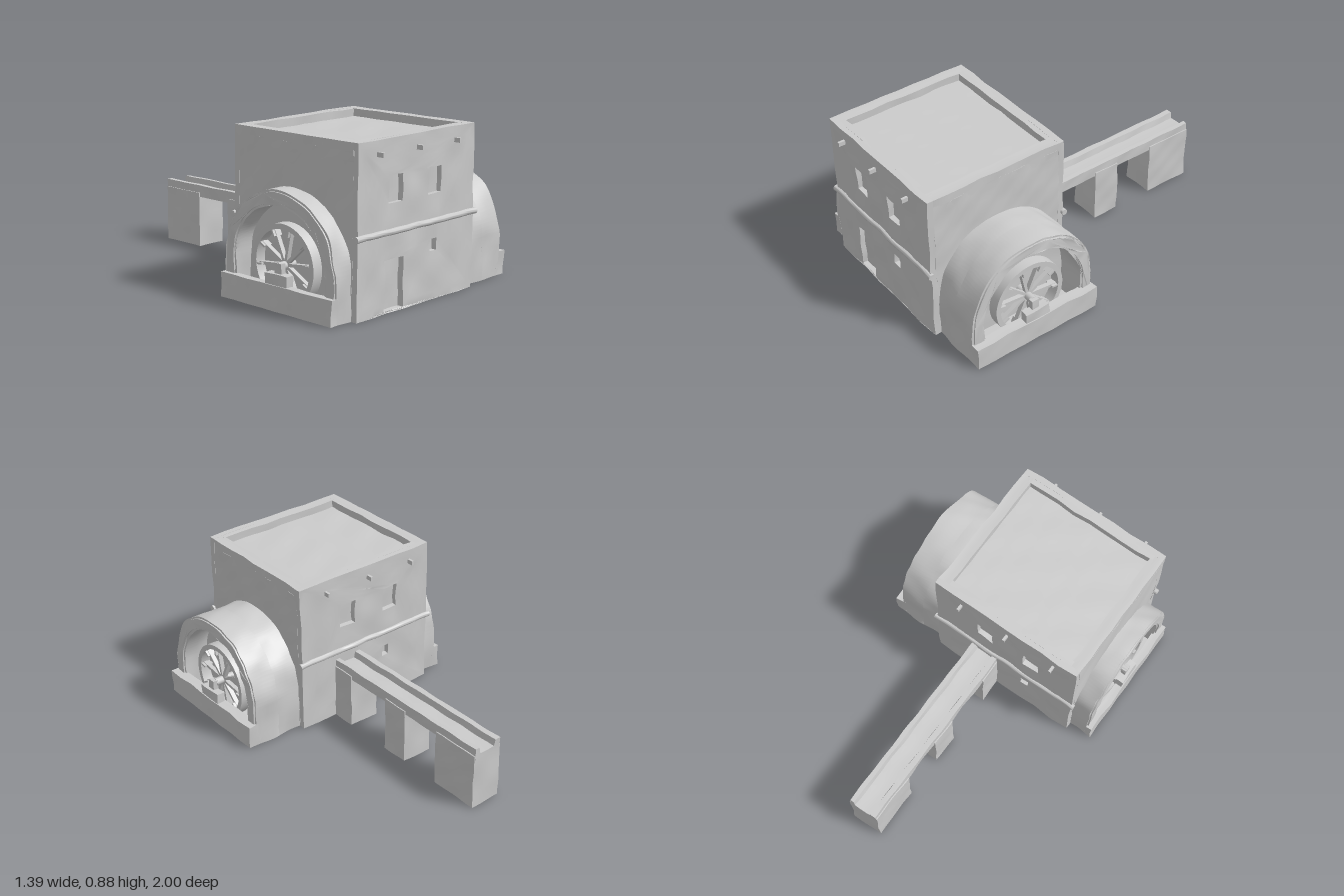
import * as THREE from 'three';
import { toCreasedNormals, mergeVertices } from 'three/addons/utils/BufferGeometryUtils.js';

const material = new THREE.MeshStandardMaterial({ color: 0xcccccc, side: THREE.DoubleSide });

// Split every triangle in four, so that flat walls can be made uneven
function subdivide(geometry, times) {
  let g = geometry.index ? geometry.toNonIndexed() : geometry;
  for (let n = 0; n < times; n++) {
    const p = g.attributes.position, out = [];
    for (let i = 0; i < p.count; i += 3) {
      const [a, b, c] = [0, 1, 2].map((k) => new THREE.Vector3().fromBufferAttribute(p, i + k));
      const ab = a.clone().lerp(b, 0.5), bc = b.clone().lerp(c, 0.5), ca = c.clone().lerp(a, 0.5);
      for (const v of [a, ab, ca, ab, b, bc, ca, bc, c, ab, bc, ca]) out.push(v.x, v.y, v.z);
    }
    g = new THREE.BufferGeometry();
    g.setAttribute('position', new THREE.Float32BufferAttribute(out, 3));
  }
  return g;
}

// Hand-plastered unevenness: a smooth shift that depends only on position
function plaster(geometry, times = 3, amount = 0.004) {
  const g = subdivide(geometry, times), p = g.attributes.position;
  const wave = (a, b, c) => Math.sin(23 * a + 11 * b) * Math.cos(19 * c - 7 * b) + 0.5 * Math.sin(47 * b + 31 * c);
  for (let i = 0; i < p.count; i++) {
    const x = p.getX(i), y = p.getY(i), z = p.getZ(i);
    const dy = y < 0.005 ? 0 : 0.5 * amount * wave(z, x, y);
    p.setXYZ(i, x + amount * wave(x, y, z), y + dy, z + amount * wave(y, z, x));
  }
  for (const key of Object.keys(g.attributes)) if (key !== 'position') g.deleteAttribute(key);
  return toCreasedNormals(mergeVertices(g, 1e-5), 0.7);
}

function add(parent, name, geometry) {
  const mesh = new THREE.Mesh(geometry, material);
  mesh.name = name;
  parent.add(mesh);
  return mesh;
}

// Box given by its limits
function block(x0, x1, y0, y1, z0, z1) {
  return new THREE.BoxGeometry(x1 - x0, y1 - y0, z1 - z0)
    .translate((x0 + x1) / 2, (y0 + y1) / 2, (z0 + z1) / 2);
}

function rectangle(Type, x0, x1, y0, y1) {
  return new Type([[x0, y0], [x1, y0], [x1, y1], [x0, y1]].map(([x, y]) => new THREE.Vector2(x, y)));
}

function wallPanel(openings, z0, z1) {
  const shape = rectangle(THREE.Shape, -0.55, 0.35, 0, 0.873);
  for (const o of openings) shape.holes.push(rectangle(THREE.Path, ...o));
  return new THREE.ExtrudeGeometry(shape, { depth: z1 - z0, bevelEnabled: false }).translate(0, 0, z0);
}

// Shape drawn in the z-y plane around z = 0.54, extruded from x0 to x1
function extrudeX(shape, x0, x1) {
  return new THREE.ExtrudeGeometry(shape, { depth: x1 - x0, bevelEnabled: false, curveSegments: 28 })
    .rotateY(Math.PI / 2).translate(x0, 0, 0.54);
}

const AXLE_Y = 0.222;

function archOutline(Type, radius, bottom) {
  const s = new Type();
  s.moveTo(radius, bottom);
  s.lineTo(radius, AXLE_Y);
  s.absarc(0, AXLE_Y, radius, 0, Math.PI, false);
  s.lineTo(-radius, bottom);
  s.closePath();
  return s;
}

function makeHouse() {
  const house = new THREE.Group();
  house.name = 'house';
  const windows = [[-0.32, -0.22, 0.55, 0.69], [-0.02, 0.08, 0.55, 0.69]];
  const door = [-0.345, -0.21, 0.012, 0.27];
  add(house, 'frontWall', plaster(wallPanel([...windows, door, [0, 0.05, 0.255, 0.32]], 0.925, 0.96)));
  add(house, 'backWall', plaster(wallPanel([...windows, [-0.265, -0.215, 0.255, 0.32]], 0.12, 0.155)));
  add(house, 'core', plaster(block(-0.55, 0.35, 0, 0.83, 0.15, 0.93), 4));
  // Raised edge around the flat roof
  for (const [x0, x1, z0, z1] of [
    [-0.55, -0.485, 0.15, 0.93], [0.285, 0.35, 0.15, 0.93],
    [-0.5, 0.3, 0.15, 0.185], [-0.5, 0.3, 0.895, 0.93]]) {
    add(house, 'parapet', plaster(block(x0, x1, 0.78, 0.873, z0, z1)));
  }
  // Rounded ledge and roof beam ends on front and back
  for (const [z, out] of [[0.96, 1], [0.12, -1]]) {
    const ledge = new THREE.CylinderGeometry(0.017, 0.017, 0.93, 10, 12);
    add(house, 'ledge', plaster(ledge.rotateZ(Math.PI / 2).translate(-0.1, 0.41, z), 1, 0.003));
    for (const x of [-0.408, -0.113, 0.182]) {
      const beam = new THREE.BoxGeometry(0.014, 0.024, 0.07);
      add(house, 'beamEnd', beam.translate(x, 0.804, z + out * 0.004));
    }
  }
  return house;
}

// Water wheel: rim, spokes, paddles and axle around the x axis
function makeWheel() {
  const wheel = new THREE.Group();
  wheel.name = 'waterWheel';
  const rim = new THREE.Shape().absarc(0, 0, 0.212, 0, Math.PI * 2, false);
  rim.holes.push(new THREE.Path().absarc(0, 0, 0.185, 0, Math.PI * 2, true));
  const rimGeometry = new THREE.ExtrudeGeometry(rim, { depth: 0.06, bevelEnabled: false, curveSegments: 24 });
  add(wheel, 'rim', toCreasedNormals(rimGeometry.rotateY(Math.PI / 2).translate(-0.03, 0, 0), 0.6));
  for (let i = 0; i < 10; i++) {
    const angle = (i / 10) * Math.PI * 2 + 0.2;
    add(wheel, 'spoke', new THREE.BoxGeometry(0.025, 0.19, 0.016).translate(0, 0.1, 0)).rotation.x = angle;
    add(wheel, 'paddle', new THREE.BoxGeometry(0.055, 0.05, 0.01).translate(0, 0.175, 0)).rotation.x = angle;
  }
  add(wheel, 'axle', new THREE.CylinderGeometry(0.022, 0.022, 0.12, 12).rotateZ(Math.PI / 2));
  return wheel;
}

// Arched wheel housing; side is 1 or -1, x values are distances from the middle
function makeWheelHouse(side, inner, back, outer) {
  const house = new THREE.Group();
  house.name = side > 0 ? 'leftWheelHouse' : 'rightWheelHouse';
  const span = (a, b) => (side > 0 ? [a, b] : [-b, -a]);
  const arch = archOutline(THREE.Shape, 0.383, 0);
  arch.holes.push(archOutline(THREE.Path, 0.305, 0.02));
  add(house, 'arch', plaster(extrudeX(arch, ...span(back, outer)), 2, 0.005));
  // Protruding stone band on the face of the arch
  const band = archOutline(THREE.Shape, 0.372, 0.05);
  band.holes.push(archOutline(THREE.Path, 0.318, 0.06));
  add(house, 'archBand', plaster(extrudeX(band, ...span(outer - 0.01, outer + 0.008)), 1));
  if (back > inner) {
    add(house, 'vault', plaster(extrudeX(archOutline(THREE.Shape, 0.383, 0), ...span(inner, back)), 2, 0.005));
  }
  // Trough wall with the axle bearing on top
  add(house, 'troughWall', plaster(block(...span(outer - 0.012, 0.688), 0, 0.132, 0.157, 0.923)));
  add(house, 'bearingBlock', plaster(block(...span(0.635, 0.682), 0.12, 0.188, 0.47, 0.615), 2));
  add(house, 'bearingPost', plaster(block(...span(0.635, 0.665), 0.18, 0.24, 0.52, 0.565), 2, 0.002));
  const wheel = makeWheel();
  wheel.position.set(side * (outer - 0.055), AXLE_Y, 0.54);
  house.add(wheel);
  return house;
}

function makeAqueduct() {
  const aqueduct = new THREE.Group();
  aqueduct.name = 'aqueduct';
  // Open channel running to the back
  const section = new THREE.Shape([
    [-0.055, 0.295], [0.113, 0.295], [0.113, 0.362], [0.088, 0.362],
    [0.08, 0.325], [-0.015, 0.325], [-0.023, 0.362], [-0.055, 0.362],
  ].map(([x, y]) => new THREE.Vector2(x, y)));
  const channel = new THREE.ExtrudeGeometry(section, { depth: 1.125, steps: 6, bevelEnabled: false });
  add(aqueduct, 'channel', plaster(channel.translate(0, 0, -0.998), 2, 0.003));
  for (const [z0, z1] of [[-0.02, 0.14], [-0.468, -0.308], [-0.997, -0.71]]) {
    add(aqueduct, 'pier', plaster(block(-0.061, 0.119, 0, 0.318, z0, z1), 3, 0.003));
  }
  return aqueduct;
}

export function createModel() {
  const model = new THREE.Group();
  model.name = 'watermill';
  model.add(makeHouse(), makeWheelHouse(1, 0.34, 0.49, 0.638), makeWheelHouse(-1, 0.54, 0.54, 0.655), makeAqueduct());
  return model;
}
